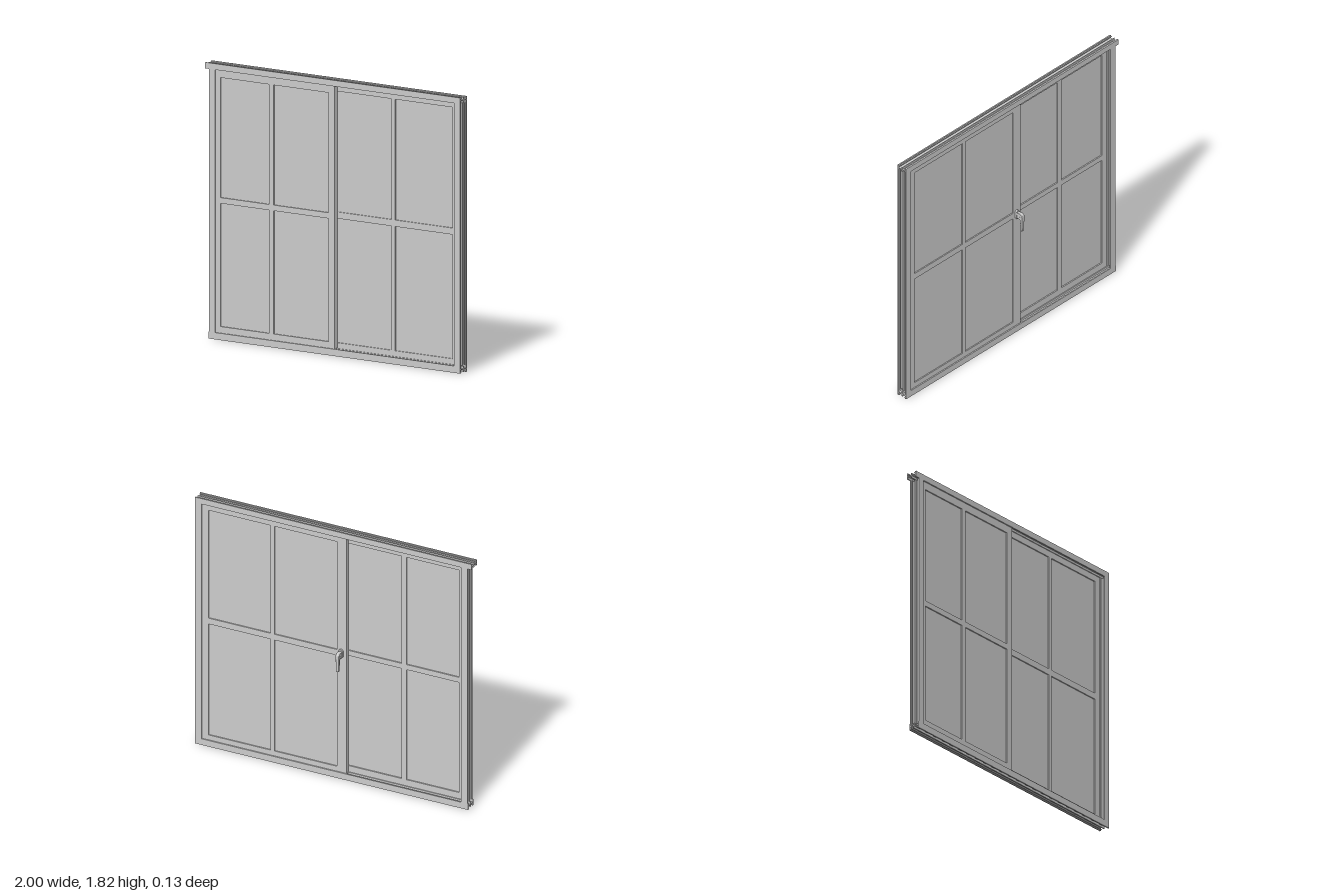
import * as THREE from 'three';

const material = new THREE.MeshStandardMaterial({ color: 0xcccccc, side: THREE.DoubleSide });

function add(parent, geometry, name) {
  const mesh = new THREE.Mesh(geometry, material);
  mesh.name = name;
  parent.add(mesh);
  return mesh;
}

// Box given by its minimum and maximum corners
function box(parent, name, [x0, x1], [y0, y1], [z0, z1]) {
  const mesh = add(parent, new THREE.BoxGeometry(x1 - x0, y1 - y0, z1 - z0), name);
  mesh.position.set((x0 + x1) / 2, (y0 + y1) / 2, (z0 + z1) / 2);
}

function rectangle(Type, x0, x1, y0, y1) {
  const r = new Type();
  r.moveTo(x0, y0);
  r.lineTo(x1, y0);
  r.lineTo(x1, y1);
  r.lineTo(x0, y1);
  r.closePath();
  return r;
}

// Frame member: flanges, web and ribs as [z range, depth range from the outer edge as a fraction]
const profile = [
  ['frontFlange', [0.053, 0.062], [0, 1]],
  ['backFlange', [-0.0145, -0.006], [0, 1]],
  ['web', [-0.006, 0.053], [0.45, 0.6]],
  ['trackRib', [0.019, 0.025], [0.12, 0.95]],
  ['frontLip', [0.045, 0.053], [0.12, 0.2]],
  ['backLip', [-0.006, 0.002], [0.12, 0.2]],
];

function frameMember(parent, name, horizontal, outer, inner, span) {
  const member = new THREE.Group();
  member.name = name;
  for (const [part, z, depth] of profile) {
    const across = depth.map((d) => outer + (inner - outer) * d).sort((a, b) => a - b);
    if (horizontal) box(member, part, span, across, z);
    else box(member, part, across, span, z);
  }
  parent.add(member);
}

// Sash with one hole per pane, and a recessed glass sheet
function sash(parent, name, x, y, z, columns, rows) {
  const group = new THREE.Group();
  group.name = name;
  const shape = rectangle(THREE.Shape, ...x, ...y);
  for (const c of columns) {
    for (const r of rows) shape.holes.push(rectangle(THREE.Path, ...c, ...r));
  }
  const geometry = new THREE.ExtrudeGeometry(shape, { depth: z[1] - z[0], bevelEnabled: false });
  geometry.translate(0, 0, z[0]);
  add(group, geometry, 'sashFrame');
  const middle = (z[0] + z[1]) / 2;
  const glassX = [columns[0][0] - 0.008, columns[1][1] + 0.008];
  const glassY = [rows[0][0] - 0.008, rows[1][1] + 0.008];
  box(group, 'glass', glassX, glassY, [middle - 0.003, middle + 0.003]);
  parent.add(group);
}

function handle() {
  const group = new THREE.Group();
  group.name = 'handle';

  // Oval base plate
  const base = new THREE.Shape();
  base.absarc(0, 0.018, 0.015, 0, Math.PI);
  base.absarc(0, -0.018, 0.015, Math.PI, 2 * Math.PI);
  const plate = new THREE.ExtrudeGeometry(base, { depth: 0.013, bevelEnabled: false, curveSegments: 12 });
  plate.translate(0, 0, -0.017);
  add(group, plate, 'basePlate');

  // Neck and hanging lever, drawn from the side (z, y)
  const side = new THREE.Shape();
  side.moveTo(-0.012, -0.017);
  side.lineTo(-0.012, 0.017);
  side.lineTo(-0.042, 0.019);
  side.quadraticCurveTo(-0.06, 0.019, -0.06, 0.002);
  side.lineTo(-0.059, -0.105);
  side.quadraticCurveTo(-0.054, -0.114, -0.049, -0.105);
  side.lineTo(-0.045, -0.03);
  side.quadraticCurveTo(-0.044, -0.019, -0.034, -0.019);
  side.closePath();
  const lever = new THREE.ExtrudeGeometry(side, {
    depth: 0.018, curveSegments: 8, bevelThickness: 0.004, bevelSize: 0.003, bevelSegments: 3,
  });
  lever.translate(0, 0, -0.009);
  lever.rotateY(-Math.PI / 2);
  // Narrow the lever towards its tip
  const p = lever.attributes.position;
  for (let i = 0; i < p.count; i++) {
    const t = THREE.MathUtils.clamp(-p.getY(i) / 0.11, 0, 1);
    p.setX(i, p.getX(i) * (1 - 0.3 * t));
  }
  lever.computeVertexNormals();
  add(group, lever, 'lever');

  group.position.set(-0.052, 0.922, 0);
  return group;
}

export function createModel() {
  const model = new THREE.Group();
  model.name = 'slidingWindow';

  // Outer frame
  frameMember(model, 'header', true, 1.82, 1.78, [-1, 1]);
  frameMember(model, 'sill', true, 0, 0.045, [-0.975, 1]);
  frameMember(model, 'rightJamb', false, -0.97, -0.925, [0.045, 1.78]);
  frameMember(model, 'leftJamb', false, 1, 0.953, [0.045, 1.78]);

  // Front sash on the right half, rear sash on the left half
  sash(model, 'frontSash', [-0.94, 0.008], [0.03, 1.795], [0.027, 0.05],
    [[-0.89, -0.508], [-0.472, -0.042]], [[0.087, 0.9], [0.938, 1.73]]);
  sash(model, 'rearSash', [-0.09, 0.968], [0.03, 1.795], [-0.004, 0.018],
    [[-0.02, 0.43], [0.46, 0.91]], [[0.08, 0.9], [0.943, 1.74]]);

  // Interlock strips where the sashes overlap
  box(model, 'frontInterlock', [-0.004, 0.008], [0.047, 1.778], [0.016, 0.027]);
  box(model, 'rearInterlock', [-0.09, -0.078], [0.047, 1.778], [0.018, 0.028]);

  model.add(handle());
  return model;
}
